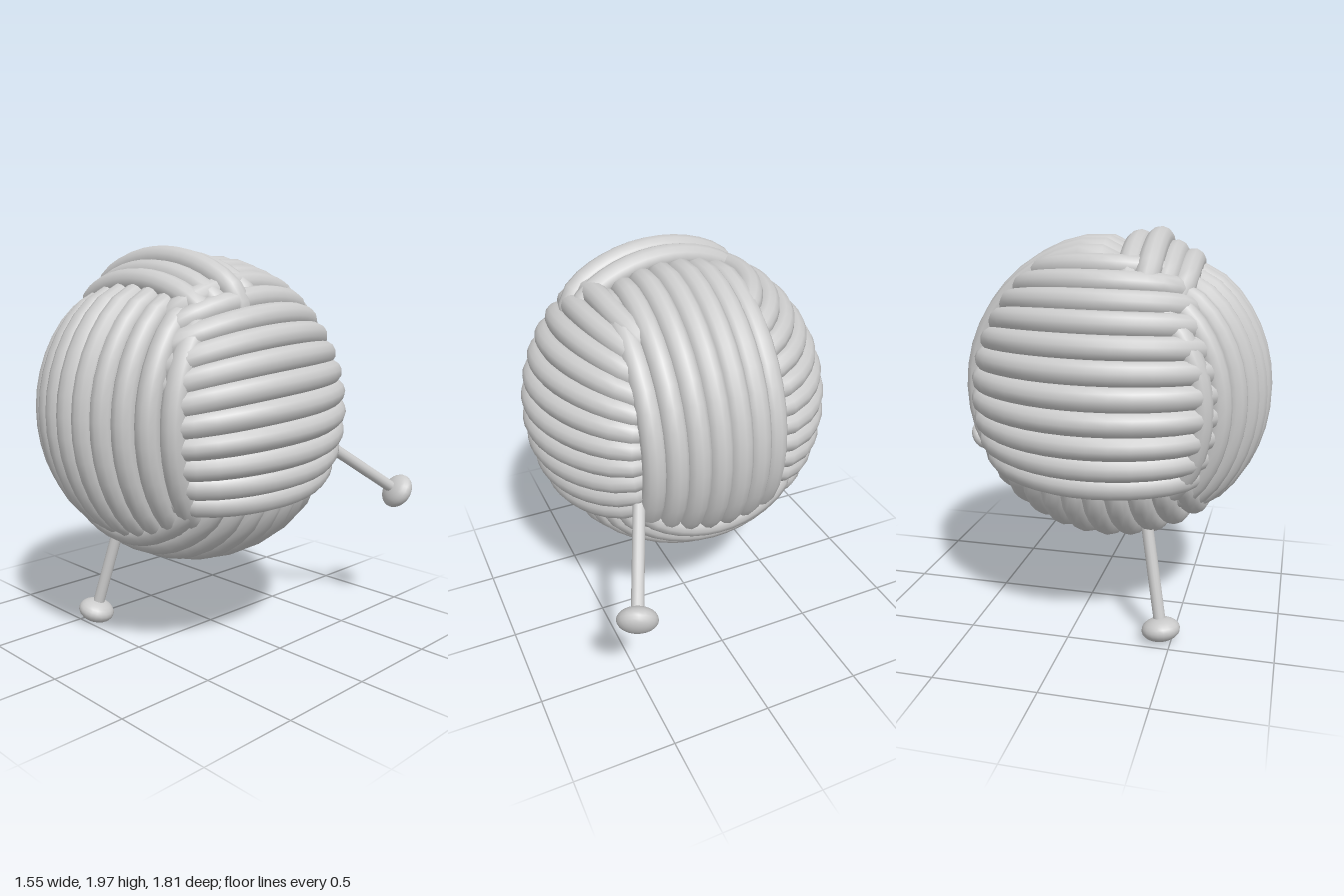
import * as THREE from 'three';

const CENTER = new THREE.Vector3(0, 1.19, 0.14);
const RAD = Math.PI / 180;
const V = (x, y, z) => new THREE.Vector3(x, y, z);
const material = new THREE.MeshStandardMaterial({ color: 0xcccccc, side: THREE.DoubleSide });

// One band of parallel yarn strands lying on the ball.
// out: middle of the band, along: strand direction, across: direction the strands are stacked in.
// span: stacking angles of the first and last strand, arc: start and end angle of each strand,
// taper: how far strands draw together at the start and end, tilt: turn about "out",
// bow: angle by which the far end of every strand bends sideways, raised: index of a loose strand.
function yarnBand({ name, out, along, across, count = 11, span, arc, taper, radius = 0.708, tilt = 0, bow = 0, raised = -1 }) {
  const band = new THREE.Group();
  band.name = name;
  const steps = 18;
  for (let i = 0; i < count; i++) {
    const phi0 = THREE.MathUtils.lerp(span[0], span[1], i / (count - 1));
    const r0 = radius + (i === raised ? 0.035 : 0);
    const points = [];
    for (let k = 0; k <= steps; k++) {
      const u = (k / steps) * 2 - 1;
      const theta = THREE.MathUtils.lerp(arc[0], arc[1], k / steps) * RAD;
      const bend = u > 0 ? bow * u * u : 0;
      const phi = (phi0 * (1 - taper[u < 0 ? 0 : 1] * u * u) + bend) * RAD;
      // the ends dive under the neighbouring bands
      const r = r0 * (1 - 0.2 * Math.pow(Math.abs(u), 9));
      points.push(V(0, 0, 0)
        .addScaledVector(across, r * Math.sin(phi))
        .addScaledVector(out, r * Math.cos(phi) * Math.cos(theta))
        .addScaledVector(along, r * Math.cos(phi) * Math.sin(theta))
        .applyAxisAngle(out, tilt * RAD)
        .add(CENTER));
    }
    const path = new THREE.CatmullRomCurve3(points);
    const strand = new THREE.Mesh(new THREE.TubeGeometry(path, 18, 0.06, 12), material);
    strand.name = 'strand';
    band.add(strand);
  }
  return band;
}

// Knitting needle: a thin shaft with a flattened knob on its outer end.
function needle(name, knobAt, tip) {
  const group = new THREE.Group();
  group.name = name;
  const dir = tip.clone().sub(knobAt);
  const length = dir.length();
  const shaft = new THREE.Mesh(new THREE.CylinderGeometry(0.03, 0.03, length, 14), material);
  shaft.name = 'needleShaft';
  shaft.position.y = length / 2;
  const knob = new THREE.Mesh(new THREE.SphereGeometry(0.095, 20, 12), material);
  knob.name = 'needleKnob';
  knob.scale.y = 0.62;
  group.add(shaft, knob);
  group.position.copy(knobAt);
  group.quaternion.setFromUnitVectors(V(0, 1, 0), dir.normalize());
  return group;
}

export function createModel() {
  const model = new THREE.Group();
  model.name = 'yarnBallWithNeedles';
  const X = V(1, 0, 0), Y = V(0, 1, 0), Z = V(0, 0, 1);

  // filled inside of the ball
  const core = new THREE.Mesh(new THREE.SphereGeometry(0.68, 32, 20), material);
  core.name = 'ballCore';
  core.position.copy(CENTER);
  model.add(core);

  // the back band leans upward, so that it also covers the top
  const lean = 25 * RAD;
  const backOut = V(0, Math.sin(lean), -Math.cos(lean));
  const backAlong = V(0, Math.cos(lean), Math.sin(lean));

  const bands = [
    { name: 'frontBand', out: Z, along: Y, across: X, span: [-47.5, 41.5], arc: [-62, 66], taper: [0.2, 0.14] },
    { name: 'leftBand', out: X, along: Z, across: Y, span: [-28, 58], arc: [-62, 59], taper: [0.3, 0.22], radius: 0.716, tilt: 3, bow: -4 },
    { name: 'rightBand', out: V(-1, 0, 0), along: Z, across: Y, span: [-28.5, 59.5], arc: [-72, 59], taper: [0.15, 0.1], radius: 0.716 },
    { name: 'topBand', out: Y, along: X, across: Z, count: 4, span: [8, 30], arc: [-43, 48], taper: [0.1, 0.1], radius: 0.718, tilt: 4, raised: 1 },
    { name: 'backBand', out: backOut, along: backAlong, across: X, count: 7, span: [-18.5, 30], arc: [-74, 76], taper: [0, 0] },
    { name: 'bottomBand', out: V(0, -1, 0), along: X, across: Z, span: [-53, 37.5], arc: [-67, 67], taper: [0.08, 0.14], tilt: 1 },
  ];
  bands.forEach((b) => model.add(yarnBand(b)));

  model.add(
    needle('frontNeedle', V(-0.42, 0.068, 0.45), V(-0.27, 0.8, 0.31)),
    needle('backNeedle', V(0.6, 0.69, -0.83), V(0.33, 1.13, -0.22)),
  );
  return model;
}
